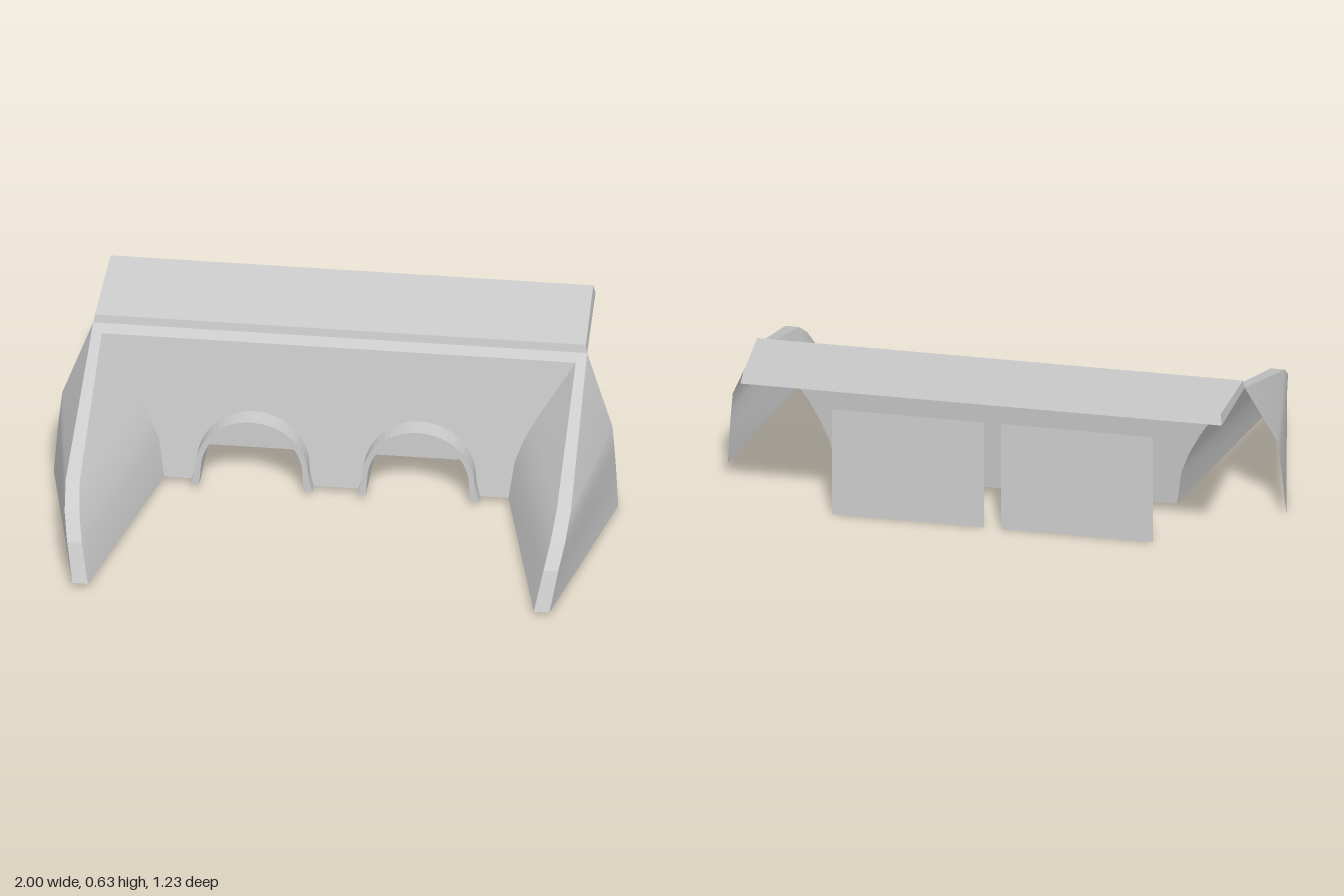
import * as THREE from 'three';

const material = new THREE.MeshStandardMaterial({ color: 0xcccccc, side: THREE.DoubleSide });
const BASE = 0.02;
const wallZ = (y) => -0.137 - 0.137 * (y - BASE);

function addMesh(parent, name, geometry) {
  const mesh = new THREE.Mesh(geometry, material);
  mesh.name = name;
  parent.add(mesh);
  return mesh;
}

// Ruled surface between two polylines of equal length; a on the left, b on the right
function ruled(a, b, flat = false) {
  const index = [];
  for (let i = 0; i < a.length - 1; i++) {
    const p = 2 * i;
    index.push(p, p + 1, p + 3, p, p + 3, p + 2);
  }
  let geometry = new THREE.BufferGeometry();
  geometry.setAttribute('position',
    new THREE.Float32BufferAttribute(a.flatMap((p, i) => [...p, ...b[i]]), 3));
  geometry.setIndex(index);
  if (flat) geometry = geometry.toNonIndexed();
  geometry.computeVertexNormals();
  return geometry;
}

// Horseshoe outline of an arch with flared feet, from left foot over the top to the right
function archOutline(cx, r, foot) {
  const pts = [[cx - foot, BASE], [cx - (r * 0.65 + foot * 0.35), 0.06]];
  const n = 24;
  for (let i = 0; i <= n; i++) {
    const t = Math.PI * (1 - i / n);
    pts.push([cx + r * Math.cos(t), 0.09 + r * Math.sin(t)]);
  }
  pts.push([cx + (r * 0.65 + foot * 0.35), 0.06], [cx + foot, BASE]);
  return pts.map(([x, y]) => new THREE.Vector2(x, y));
}

// Wing wall rows, bottom to top (for the +x side)
const rimOuter = [[0.845, BASE, 0.615], [0.87, 0.16, 0.565], [0.887, 0.24, 0.495],
  [0.895, 0.31, 0.395], [0.875, 0.565, -0.255]];
const rimInner = [[0.79, BASE, 0.615], [0.818, 0.16, 0.565], [0.835, 0.24, 0.495],
  [0.845, 0.31, 0.395], [0.84, 0.55, wallZ(0.55)]];
const backOuter = [[1, BASE, -0.13], [0.99, 0.16, -0.15], [0.983, 0.24, -0.16],
  [0.975, 0.32, -0.17], [0.875, 0.565, -0.255]];
const wallCorner = [[0.61, BASE], [0.63, 0.16], [0.66, 0.24], [0.70, 0.32], [0.84, 0.55]]
  .map(([x, y]) => [x, y, wallZ(y)]);

function createWing(side) {
  const wing = new THREE.Group();
  wing.name = side > 0 ? 'leftWingWall' : 'rightWingWall';
  const place = (line) => line.map(([x, y, z]) => [x * side, y, z]);
  const face = (name, a, b, flat) => addMesh(wing, name,
    side > 0 ? ruled(place(a), place(b), flat) : ruled(place(b), place(a), flat));
  face('outerFace', rimOuter, backOuter);
  face('innerFace', wallCorner, rimInner);
  face('rim', rimInner, rimOuter, true);
  return wing;
}

// Sloped headwall with two arch-shaped openings
function createHeadwall() {
  const right = wallCorner.map(([x, y]) => new THREE.Vector2(x, y));
  const left = wallCorner.map(([x, y]) => new THREE.Vector2(-x, y)).reverse();
  const outline = [...left, ...archOutline(-0.295, 0.2, 0.215),
    ...archOutline(0.295, 0.2, 0.215), ...right];
  const geometry = new THREE.ShapeGeometry(new THREE.Shape(outline));
  const pos = geometry.attributes.position;
  for (let i = 0; i < pos.count; i++) pos.setZ(i, wallZ(pos.getY(i)));
  geometry.computeVertexNormals();
  return geometry;
}

// Arched lining extruded back from the headwall
function createArch(cx) {
  const outline = [...archOutline(cx, 0.2, 0.215), ...archOutline(cx, 0.18, 0.186).reverse()];
  const geometry = new THREE.ExtrudeGeometry(new THREE.Shape(outline),
    { depth: 0.31, bevelEnabled: false });
  return geometry.translate(0, 0, -0.405);
}

// Tilted roof slab: a box whose corners are moved to a tapered section
function createSlab() {
  const geometry = new THREE.BoxGeometry(2, 2, 2);
  const pos = geometry.attributes.position;
  for (let i = 0; i < pos.count; i++) {
    const top = pos.getY(i) > 0, front = pos.getZ(i) > 0;
    const [x, y, z] = front
      ? (top ? [0.87, 0.595, -0.26] : [0.875, 0.565, -0.255])
      : (top ? [0.855, 0.632, -0.602] : [0.862, 0.595, -0.615]);
    pos.setXYZ(i, Math.sign(pos.getX(i)) * x, y, z);
  }
  geometry.computeVertexNormals();
  return geometry;
}

export function createModel() {
  const model = new THREE.Group();
  model.name = 'tunnelPortal';

  addMesh(model, 'headwall', createHeadwall());
  addMesh(model, 'roofSlab', createSlab());

  // Coping along the top of the headwall
  const zIn = wallZ(0.55);
  addMesh(model, 'coping', ruled(
    [[-0.875, 0.565, -0.255], [0.875, 0.565, -0.255]].reverse(),
    [[-0.84, 0.55, zIn], [0.84, 0.55, zIn]].reverse()));

  for (const side of [1, -1]) {
    model.add(createWing(side));
    const label = side > 0 ? 'left' : 'right';
    addMesh(model, label + 'ArchLining', createArch(side * 0.295));
    // Thin panel closing the back of the arch
    const panel = addMesh(model, label + 'BackPanel', new THREE.PlaneGeometry(0.545, 0.415));
    panel.position.set(side * 0.3025, 0.2075, -0.405);
  }
  return model;
}
